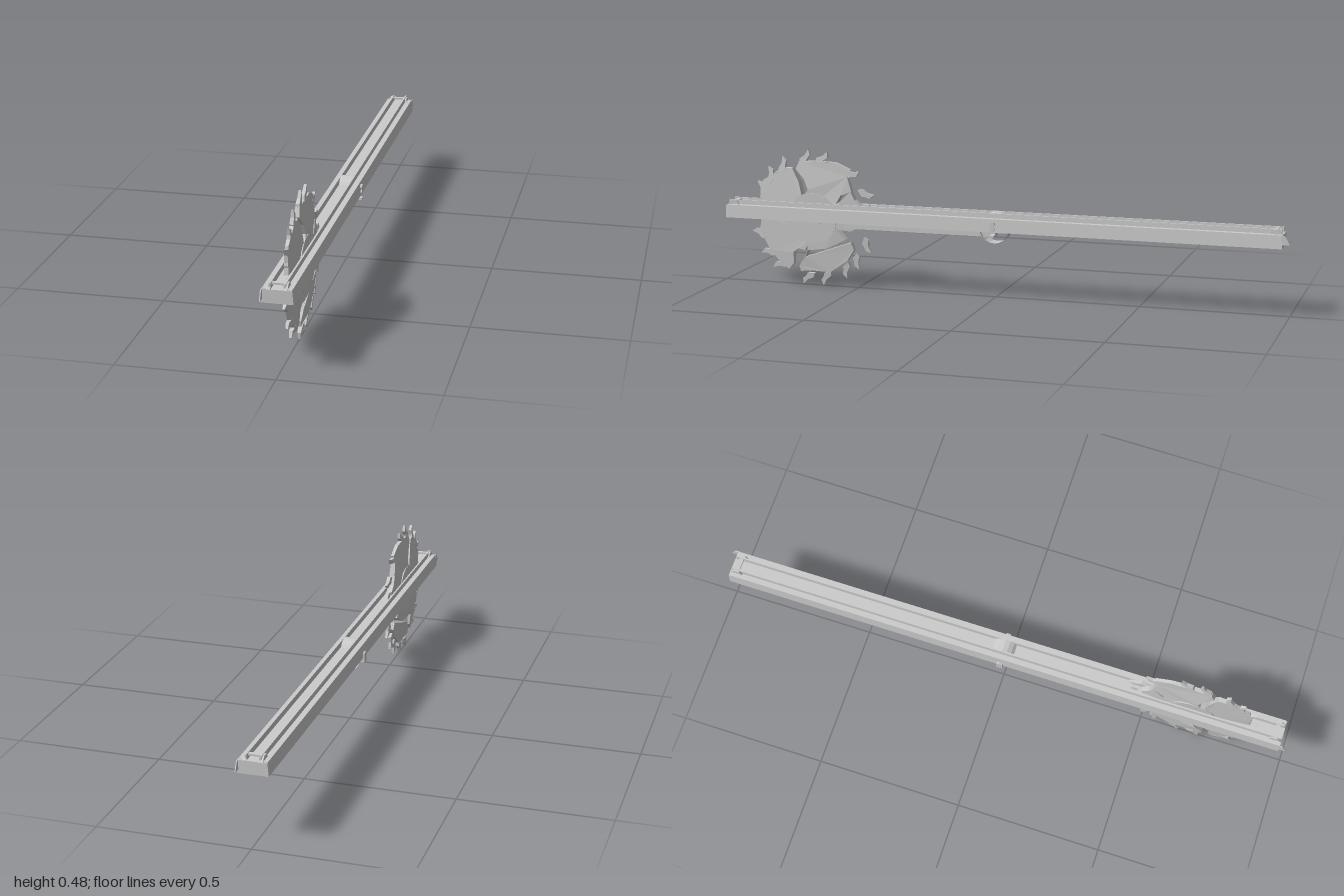
import * as THREE from 'three';

const mat = new THREE.MeshStandardMaterial({ color: 0xcccccc, flatShading: true, side: THREE.DoubleSide });

function add(parent, name, geo, x = 0, y = 0, z = 0) {
  const m = new THREE.Mesh(geo, mat);
  m.name = name;
  m.position.set(x, y, z);
  parent.add(m);
  return m;
}
const box = (w, h, d) => new THREE.BoxGeometry(w, h, d);
const cylX = (r, len, n, open = false) => new THREE.CylinderGeometry(r, r, len, n, 1, open).rotateZ(Math.PI / 2);
const shapeOf = pts => new THREE.Shape(pts.map(p => new THREE.Vector2(p[0], p[1])));
const extrude = (pts, depth) => new THREE.ExtrudeGeometry(shapeOf(pts), { depth, bevelEnabled: false }).translate(0, 0, -depth / 2);

// Blade pieces: outline in the z-y plane, thinning towards the rim
function bladePiece(pts) {
  const geo = extrude(pts, 2).rotateY(-Math.PI / 2);
  const p = geo.attributes.position;
  for (let i = 0; i < p.count; i++) {
    const r = Math.hypot(p.getY(i), p.getZ(i));
    const half = THREE.MathUtils.clamp(0.018 - (r - 0.09) * 0.095, 0.004, 0.018);
    p.setX(i, p.getX(i) * half);
  }
  geo.computeVertexNormals();
  return geo;
}

export function createModel() {
  const group = new THREE.Group();

  // Long track: thin channel, open below, with two raised lips on top
  const half = [[0.05, 0.243], [0.046, 0.288], [0.027, 0.288], [0.026, 0.304], [0.02, 0.304], [0.019, 0.286]];
  const inner = [[0.019, 0.282], [0.042, 0.282], [0.046, 0.243]];
  const mirror = a => a.map(([x, y]) => [-x, y]).reverse();
  add(group, 'track', extrude([...half, ...mirror(half), ...mirror(inner), ...inner], 1.94));

  // Track ends: wall, sloped lip block, bracket and corner tab
  for (const s of [1, -1]) {
    const end = new THREE.Group();
    end.name = s > 0 ? 'frontEnd' : 'backEnd';
    end.rotation.y = s > 0 ? 0 : Math.PI;
    group.add(end);
    add(end, 'endWall', extrude([[-0.05, 0.243], [0.05, 0.243], [0.046, 0.286], [-0.046, 0.286]], 0.008), 0, 0, 0.971);
    const slope = extrude([[0.93, 0.286], [0.975, 0.286], [0.96, 0.302], [0.94, 0.302]], 0.012).rotateY(-Math.PI / 2);
    for (const x of [-0.026, 0.026]) add(end, 'endLip', slope, x);
    add(end, 'endBracket', box(0.052, 0.006, 0.014), 0, 0.298, 0.95);
    add(end, 'cornerTab', extrude([[0.97, 0.255], [1, 0.257], [0.985, 0.285], [0.97, 0.288]], 0.003).rotateY(-Math.PI / 2), -0.046);
  }

  // Pivot in the middle of the track
  const pivot = new THREE.Group();
  pivot.name = 'pivot';
  pivot.position.y = 0.253;
  group.add(pivot);
  add(pivot, 'pivotDrum', cylX(0.052, 0.05, 20, true));
  add(pivot, 'pivotAxle', cylX(0.01, 0.106, 8));
  add(pivot, 'leftBolt', cylX(0.01, 0.01, 8), 0.049, 0.017, 0);
  add(pivot, 'leftLowerBolt', box(0.028, 0.008, 0.016), 0.04, -0.024, 0);
  add(pivot, 'rightBolt', box(0.026, 0.034, 0.02), -0.042, -0.01, 0);

  // Arm from the pivot to the blade
  add(group, 'arm', extrude([[0, 0.22], [0.66, 0.22], [0.69, 0.228], [0.705, 0.245], [0.69, 0.268], [0, 0.268]], 0.028).rotateY(-Math.PI / 2));

  // Broken circular blade
  const blade = new THREE.Group();
  blade.name = 'blade';
  blade.position.set(0, 0.25, 0.662);
  group.add(blade);
  add(blade, 'hub', cylX(0.09, 0.036, 18));
  add(blade, 'hubCap', cylX(0.035, 0.042, 12));
  const petals = [
    [[0.04, 0.02], [0.2, 0.03], [0.195, 0.06], [0.2, 0.065], [0.187, 0.125], [0.14, 0.155], [0.117, 0.172], [0.075, 0.172], [0.05, 0.125], [0.035, 0.06]],
    [[0.03, 0.02], [0.032, 0.075], [0.015, 0.1], [0.03, 0.135], [0.062, 0.17], [0.05, 0.197], [-0.015, 0.2], [-0.085, 0.198], [-0.14, 0.175],
      [-0.128, 0.15], [-0.143, 0.1], [-0.105, 0.085], [-0.085, 0.05], [-0.02, 0.02]],
    [[-0.04, 0.04], [-0.1, 0.06], [-0.14, 0.1], [-0.155, 0.07], [-0.178, 0.05], [-0.165, 0.01], [-0.18, -0.02], [-0.14, -0.04], [-0.04, -0.03]],
    [[0.03, 0.02], [0.2, 0.02], [0.192, 0], [0.203, -0.05], [0.165, -0.125], [0.125, -0.165], [0.095, -0.188], [0.075, -0.165], [0.075, -0.125], [0.055, -0.11], [0.03, -0.115], [0, -0.06]],
    [[0.03, -0.05], [0.02, -0.115], [0.03, -0.14], [-0.14, -0.08], [-0.15, -0.105], [-0.125, -0.145], [-0.06, -0.19], [0.01, -0.187], [0.05, -0.192], [0.055, -0.172],
      [0.035, -0.145], [-0.02, -0.125], [-0.1, -0.085], [-0.06, -0.04]].slice(1, 11),
    [[0.02, -0.04], [0.02, -0.115], [-0.05, -0.105], [-0.12, -0.07], [-0.08, -0.03]],
  ];
  petals.forEach(p => add(blade, 'bladePiece', bladePiece(p)));

  // Loose hooked teeth round the rim: angle from +z, tilt of the hook
  const tooth = [[0.195, -0.022], [0.212, -0.018], [0.222, 0.002], [0.241, 0.017], [0.22, 0.021], [0.207, 0.008], [0.198, 0.004]];
  const toothGeo = bladePiece(tooth);
  const angles = [4, 26, 42, 58, 82, 99, 131, 154, 170, 204, 222, 236, 258, 276, 306, 322, 342];
  angles.forEach(a => {
    const t = add(blade, 'tooth', toothGeo);
    t.rotation.x = -a * Math.PI / 180;
  });

  return group;
}
